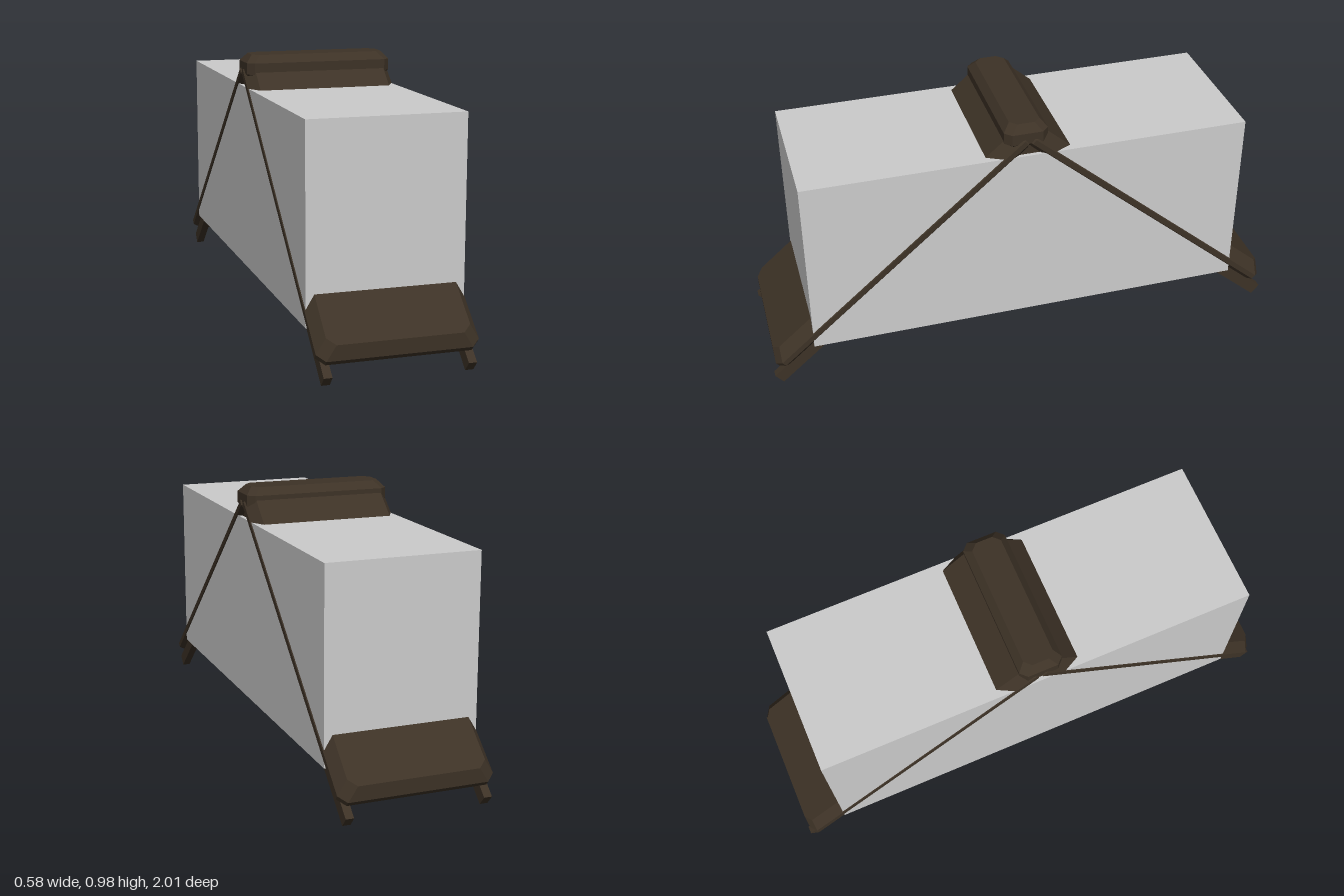
import * as THREE from 'three';

// Slab with clipped corners; layers are [height, inset] pairs from bottom to top.
function bevelledSlab(halfX, halfZ, corner, layers) {
  const geo = new THREE.CylinderGeometry(1, 1, 1, 8, layers.length - 1, false, Math.PI / 8);
  const pos = geo.attributes.position;
  const place = (v, half) => {
    const a = Math.abs(v);
    return Math.sign(v) * (a > 0.7 ? half : a > 0.1 ? half - corner : 0);
  };
  for (let i = 0; i < pos.count; i++) {
    const layer = Math.round((pos.getY(i) + 0.5) * (layers.length - 1));
    const [height, inset] = layers[layer];
    pos.setXYZ(i, place(pos.getX(i), halfX - inset), height, place(pos.getZ(i), halfZ - inset));
  }
  const flat = geo.toNonIndexed();
  flat.computeVertexNormals();
  return flat;
}

export function createModel() {
  const model = new THREE.Group();
  const darkWood = new THREE.MeshStandardMaterial({ color: 0x3d3226 });
  darkWood.name = 'darkWood';
  const paleGrey = new THREE.MeshStandardMaterial({ color: 0xcccccc });
  paleGrey.name = 'paleGrey';

  const add = (parent, name, geometry, material, x = 0, y = 0, z = 0) => {
    const mesh = new THREE.Mesh(geometry, material);
    mesh.name = name;
    mesh.position.set(x, y, z);
    parent.add(mesh);
    return mesh;
  };

  // Plain block filling the space between the slopes
  add(model, 'block', new THREE.BoxGeometry(0.57, 0.705, 1.69), paleGrey, 0, 0.5125, 0);

  // Two matching slopes, each a bevelled panel on a pair of rafters
  const panel = bevelledSlab(0.288, 0.657, 0.03, [[0.683, 0.014], [0.697, 0], [0.717, 0], [0.76, 0.034]]);
  const rafter = new THREE.BoxGeometry(0.03, 0.046, 1.315);
  for (const [name, turn] of [['frontSlope', 0], ['backSlope', Math.PI]]) {
    const side = new THREE.Group();
    side.name = name;
    side.rotation.y = turn;
    const slope = new THREE.Group();
    slope.name = name + 'Tilt';
    slope.rotation.x = 0.7115;
    add(slope, 'roofPanel', panel, darkWood, 0, 0, 0.037);
    add(slope, 'leftRafter', rafter, darkWood, 0.255, 0.66, 0.0775);
    add(slope, 'rightRafter', rafter, darkWood, -0.255, 0.66, 0.0775);
    side.add(slope);
    model.add(side);
  }

  // Bevelled cap along the ridge
  const cap = bevelledSlab(0.283, 0.083, 0.025, [[0.905, 0.008], [0.915, 0], [0.958, 0], [0.987, 0.026]]);
  add(model, 'ridgeCap', cap, darkWood, 0, 0, 0.01);

  return model;
}
